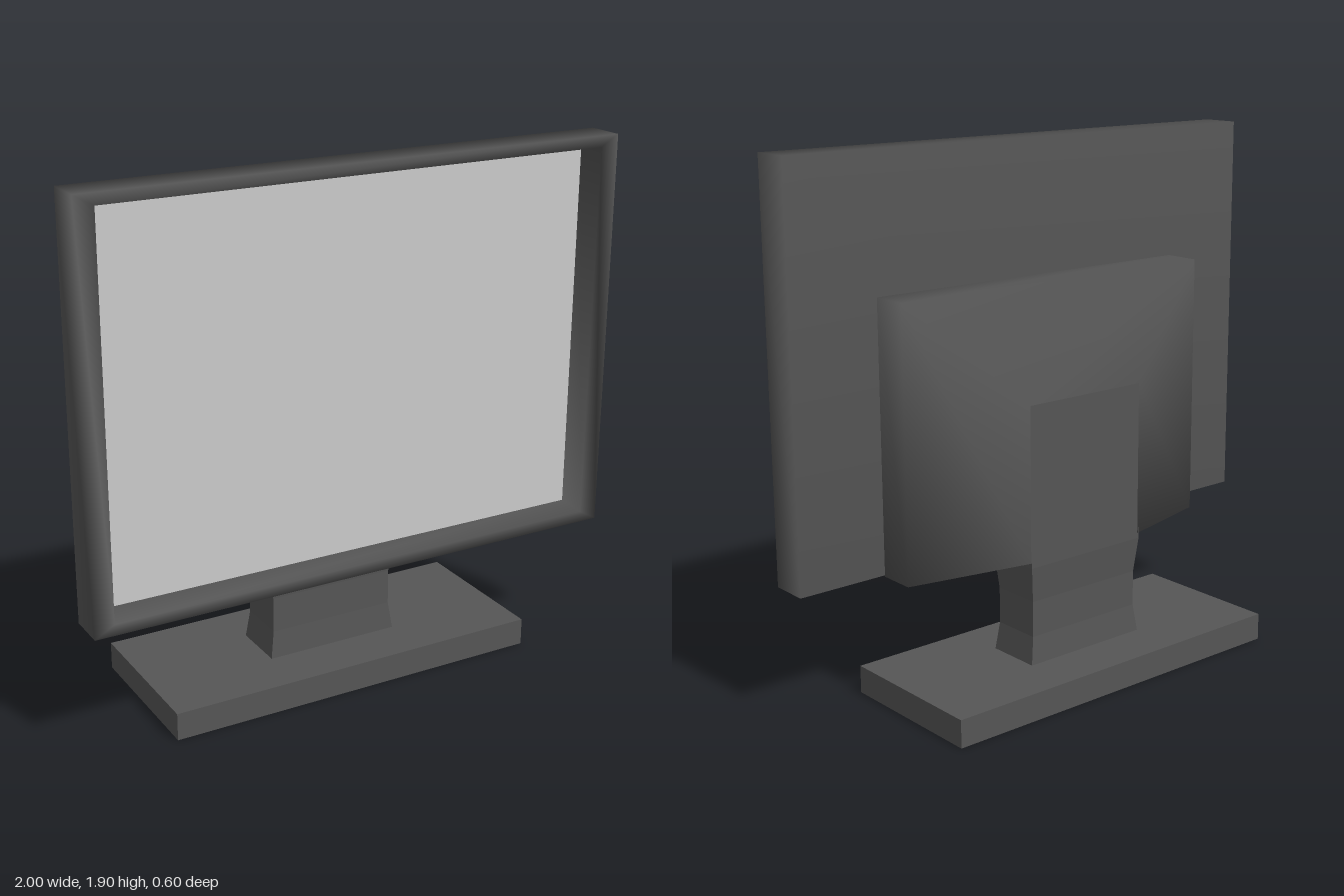
import * as THREE from 'three';

const dark = (flatShading) => new THREE.MeshStandardMaterial({ color: 0x555555, flatShading });

// Lofts rectangular rings [halfWidth, yLow, yHigh, z]; optionally closes the first ring.
function loftRects(rings, closeStart) {
  const pos = [], idx = [];
  rings.forEach(([w, y0, y1, z], r) => {
    pos.push(-w, y0, z, w, y0, z, w, y1, z, -w, y1, z);
    if (r === 0) return;
    for (let i = 0; i < 4; i++) {
      const a = (r - 1) * 4 + i, b = (r - 1) * 4 + (i + 1) % 4;
      idx.push(a, b, b + 4, a, b + 4, a + 4);
    }
  });
  if (closeStart) idx.push(0, 2, 1, 0, 3, 2);
  const g = new THREE.BufferGeometry();
  g.setAttribute('position', new THREE.Float32BufferAttribute(pos, 3));
  g.setIndex(idx);
  g.computeVertexNormals();
  return g;
}

export function createModel() {
  const model = new THREE.Group();
  model.name = 'monitor';
  const add = (name, geometry, material, x = 0, y = 0, z = 0) => {
    const mesh = new THREE.Mesh(geometry, material);
    mesh.name = name;
    mesh.position.set(x, y, z);
    model.add(mesh);
    return mesh;
  };

  // Panel shell with a recessed opening, softly shaded
  add('panelFrame', loftRects([
    [1, 0.46, 1.9, 0.16],
    [1, 0.46, 1.9, 0.3],
    [0.93, 0.5, 1.86, 0.3],
    [0.91, 0.52, 1.84, 0.215],
  ], true), dark(false));

  // Screen at the bottom of the recess
  add('screen', new THREE.PlaneGeometry(1.82, 1.32),
    new THREE.MeshStandardMaterial({ color: 0xcccccc }), 0, 1.18, 0.215);

  // Rear housing, tapering to a flat mounting face
  add('rearHousing', loftRects([
    [0.25, 0.48, 1.04, -0.12],
    [0.665, 0.455, 1.42, 0.025],
    [0.665, 0.455, 1.42, 0.16],
  ], false), dark(false));
  add('mountingFace', new THREE.PlaneGeometry(0.5, 0.56), dark(true), 0, 0.76, -0.12)
    .rotation.y = Math.PI;

  // Waisted neck, lofted upwards and sunk into the housing
  const neck = loftRects([
    [0.252, -0.09, 0.115, 0.1],
    [0.238, -0.08, 0.105, 0.2],
    [0.238, -0.08, 0.105, 0.33],
    [0.252, -0.09, 0.118, 0.46],
    [0.252, -0.09, 0.118, 0.5],
  ], false);
  neck.rotateX(-Math.PI / 2);
  add('neck', neck, dark(true), -0.007);

  // Base slab
  add('base', new THREE.BoxGeometry(1.415, 0.1, 0.58), dark(true), -0.007, 0.05, -0.013);

  return model;
}
